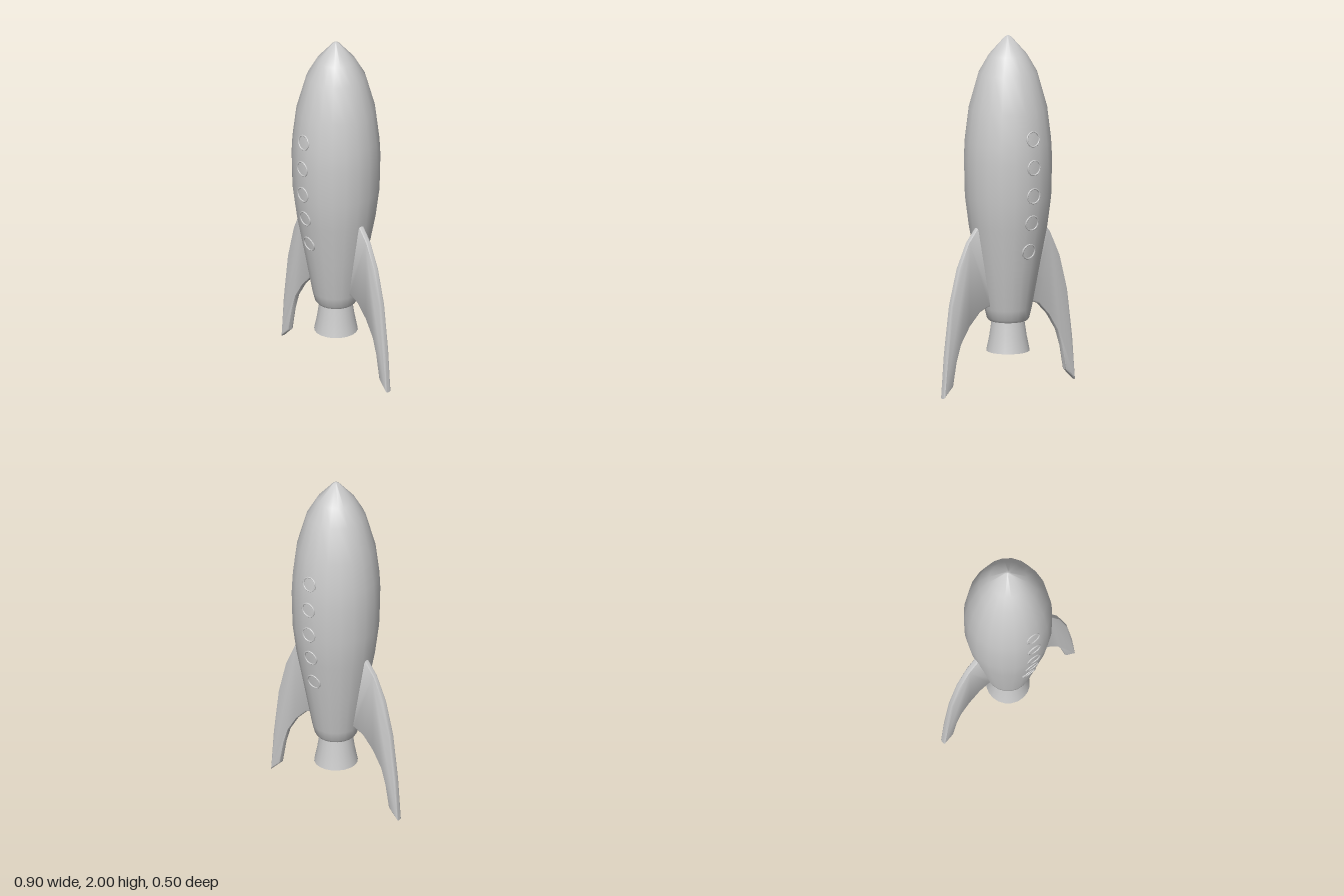
import * as THREE from 'three';
import { toCreasedNormals } from 'three/addons/utils/BufferGeometryUtils.js';

const SIDES = 20;
const FLAT = Math.PI / SIDES; // turns a flat side towards the front
const grey = new THREE.MeshStandardMaterial({ color: 0xcccccc });
const greyDouble = new THREE.MeshStandardMaterial({ color: 0xcccccc, side: THREE.DoubleSide });
const points = (list) => list.map(([x, y]) => new THREE.Vector2(x, y));

function addMesh(parent, name, geometry, material = grey) {
  const mesh = new THREE.Mesh(geometry, material);
  mesh.name = name;
  parent.add(mesh);
  return mesh;
}

// Hull radius against height, from the tail to the nose
const HULL = [
  [0, 0.395], [0.107, 0.395], [0.118, 0.41], [0.132, 0.465], [0.175, 0.7], [0.219, 0.93],
  [0.241, 1.1], [0.246, 1.31], [0.241, 1.41], [0.219, 1.59], [0.163, 1.79], [0.106, 1.89],
  [0.018, 1.99], [0, 2],
];

// Front face of the hull at a height: distance from the axis and slope
function hullAt(y) {
  const i = HULL.findIndex((p, k) => k > 1 && p[1] >= y);
  const [r0, y0] = HULL[i - 1], [r1, y1] = HULL[i];
  const slope = (r1 - r0) / (y1 - y0);
  return { z: (r0 + slope * (y - y0)) * Math.cos(FLAT), tilt: Math.atan(slope) };
}

// Swept fin with bevelled edges, its root sunk into the hull
function finGeometry() {
  const outline = new THREE.Shape(points([
    [0.1, 0.487], [0.14, 0.485], [0.2, 0.462], [0.27, 0.39], [0.33, 0.295], [0.36, 0.2], [0.385, 0.065],
    [0.45, 0.002], [0.432, 0.25], [0.397, 0.52], [0.345, 0.72], [0.28, 0.86], [0.215, 0.94], [0.1, 0.94],
  ]));
  const geometry = new THREE.ExtrudeGeometry(outline, {
    depth: 0.012, bevelEnabled: true, bevelThickness: 0.012, bevelSize: 0.01, bevelOffset: -0.01, bevelSegments: 2,
  });
  geometry.translate(0, 0, -0.006);
  return toCreasedNormals(geometry, 0.6);
}

export function createModel() {
  const rocket = new THREE.Group();
  rocket.name = 'rocket';

  const hull = new THREE.LatheGeometry(points(HULL), SIDES, FLAT);
  addMesh(rocket, 'hull', toCreasedNormals(hull, 0.75));

  // Open exhaust nozzle
  const nozzle = new THREE.LatheGeometry(points([[0.121, 0.222], [0.105, 0.3], [0.09, 0.4]]), SIDES, FLAT);
  addMesh(rocket, 'nozzle', nozzle, greyDouble);

  // One fin on each side
  const fin = finGeometry();
  addMesh(rocket, 'leftFin', fin);
  addMesh(rocket, 'rightFin', fin).rotation.y = Math.PI;

  // Rows of porthole rims, front and back, lying flush with the hull
  const rim = toCreasedNormals(new THREE.LatheGeometry(points([
    [0.037, -0.012], [0.045, -0.012], [0.045, 0.003], [0.043, 0.005], [0.039, 0.005], [0.037, 0.003], [0.037, -0.012],
  ]), 20), 0.6);
  rim.rotateX(Math.PI / 2);
  for (const [name, turn] of [['frontPortholes', 0], ['backPortholes', Math.PI]]) {
    const row = new THREE.Group();
    row.name = name;
    row.rotation.y = turn;
    for (const y of [0.81, 0.975, 1.13, 1.29, 1.45]) {
      const { z, tilt } = hullAt(y);
      const mesh = addMesh(row, 'portholeRim', rim);
      mesh.position.set(0, y, z);
      mesh.rotation.x = tilt;
    }
    rocket.add(row);
  }
  return rocket;
}
